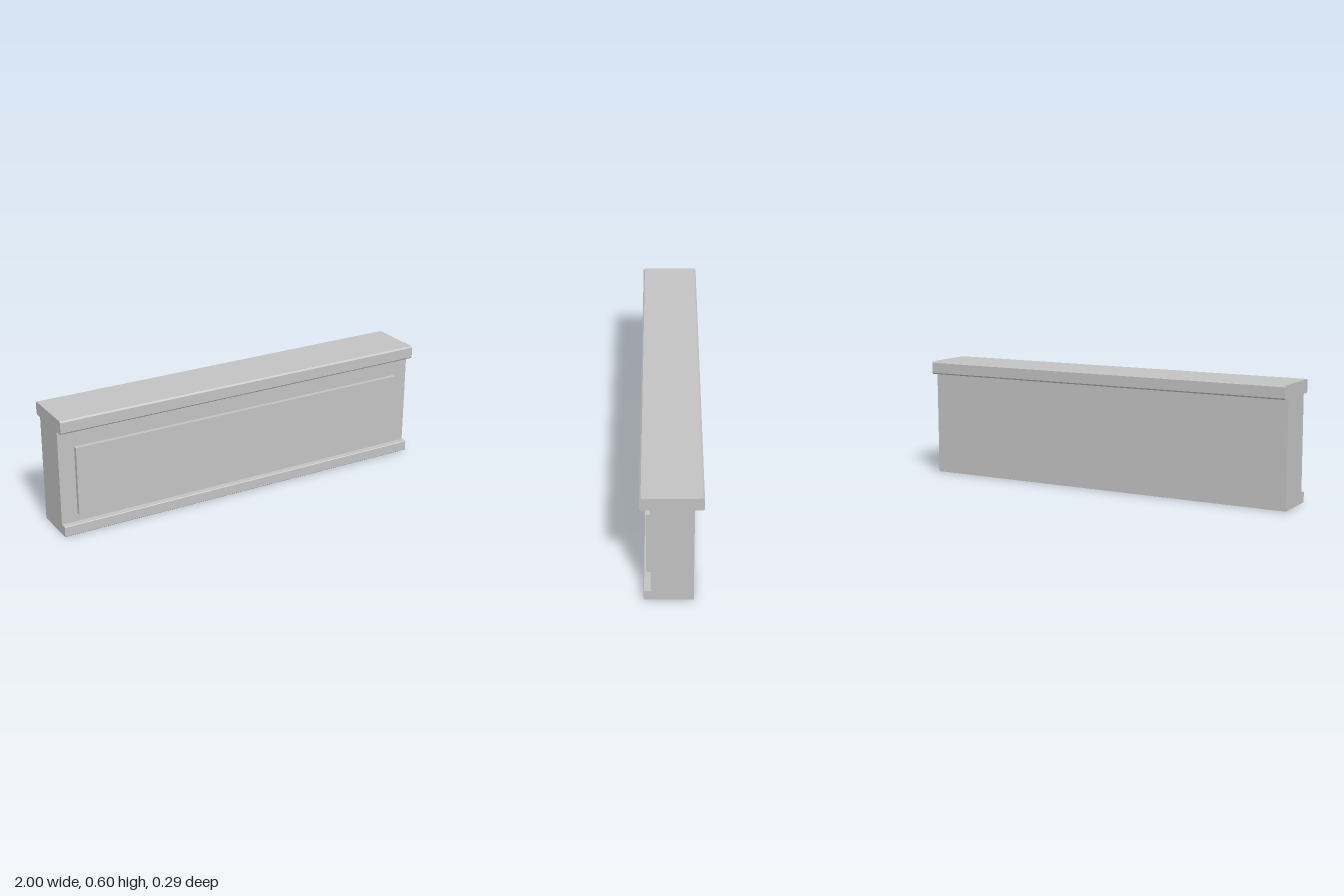
import * as THREE from 'three';

const stone = new THREE.MeshStandardMaterial({ color: 0xc2c2c2 });
stone.name = 'stone grey';

// Bar running along x with a chamfered z-y section
function bar(name, length, z0, z1, y0, y1, c = 0) {
  const s = new THREE.Shape();
  const a = -z1, b = -z0; // shape x becomes -z after turning
  const pts = c > 0
    ? [[a + c, y0], [b - c, y0], [b, y0 + c], [b, y1 - c], [b - c, y1], [a + c, y1], [a, y1 - c], [a, y0 + c]]
    : [[a, y0], [b, y0], [b, y1], [a, y1]];
  s.setFromPoints(pts.map(([x, y]) => new THREE.Vector2(x, y)));
  const geo = new THREE.ExtrudeGeometry(s, { depth: length, bevelEnabled: false });
  geo.translate(0, 0, -length / 2);
  geo.rotateY(Math.PI / 2);
  const mesh = new THREE.Mesh(geo, stone);
  mesh.name = name;
  return mesh;
}

export function createModel() {
  const group = new THREE.Group();
  group.name = 'parapetWall';
  group.add(
    bar('wallBody', 2, -0.101, 0.097, 0, 0.535),
    bar('coping', 2, -0.144, 0.144, 0.535, 0.602, 0.007),
    bar('baseMoulding', 2, 0.096, 0.131, 0, 0.053, 0.003),
    bar('raisedPanel', 1.835, 0.097, 0.118, 0.095, 0.441),
  );
  return group;
}
